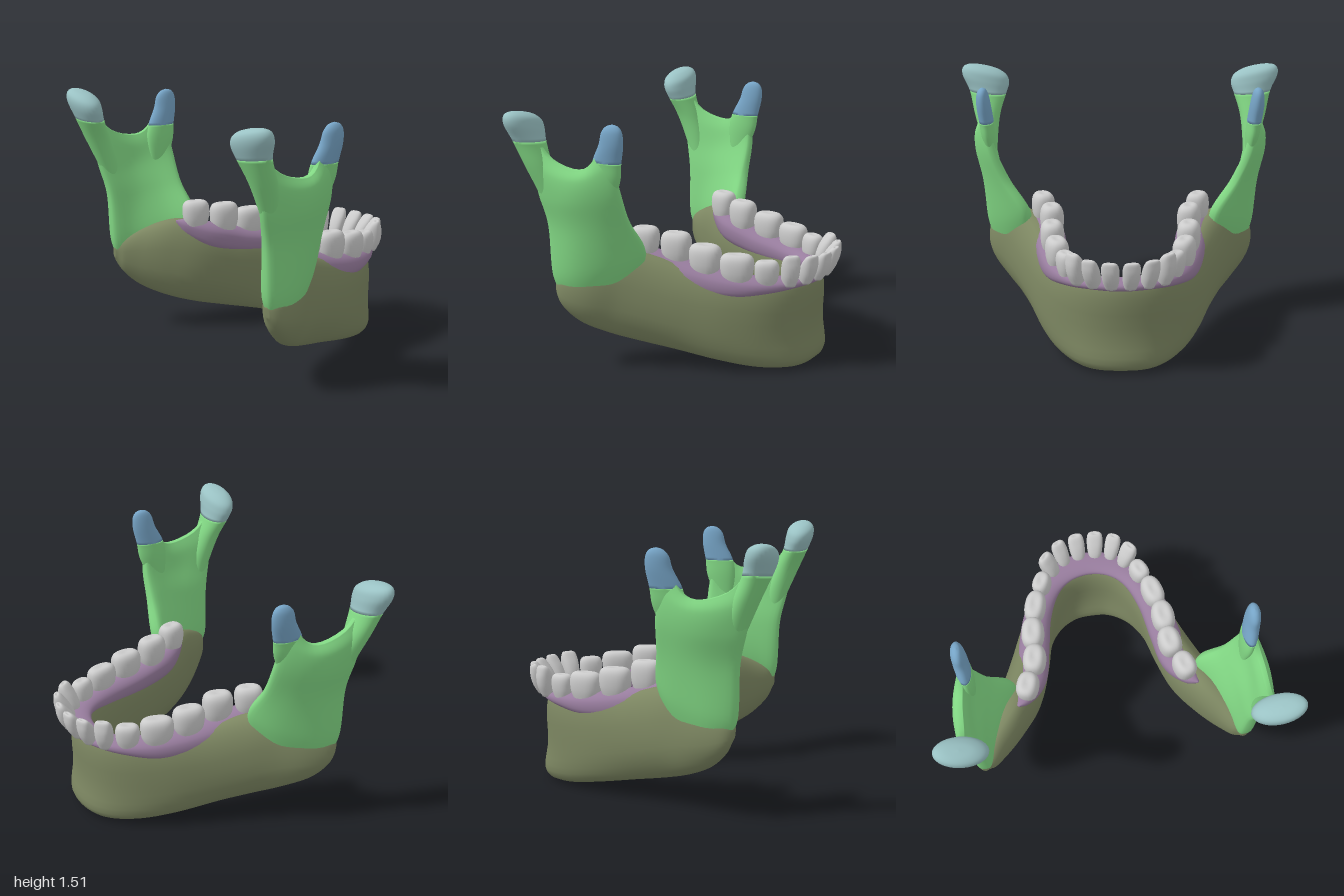
import * as THREE from 'three';

const COLORS = { body: 0x7d8762, ramus: 0x82d884, condyle: 0x9ac2c4, coronoid: 0x76a4c6, gum: 0x987d9e, tooth: 0xcccccc };
const V = (x, y, z) => new THREE.Vector3(x, y, z);
const pw = (v, e) => Math.sign(v) * Math.abs(v) ** e;

// Catmull-Rom through rows of plain numbers
function sample(rows, t) {
  const n = rows.length - 1, f = Math.min(t, 1) * n, i = Math.min(Math.floor(f), n - 1), k = f - i;
  const at = j => rows[Math.max(0, Math.min(n, j))];
  return at(i).map((p1, c) => {
    const p0 = at(i - 1)[c], p2 = at(i + 1)[c], p3 = at(i + 2)[c];
    return p1 + 0.5 * k * (p2 - p0 + k * (2 * p0 - 5 * p1 + 4 * p2 - p3 + k * (3 * (p1 - p2) + p3 - p0)));
  });
}
const resample = (rows, n, from = 0, to = 1) =>
  Array.from({ length: n + 1 }, (_, i) => sample(rows, from + (to - from) * i / n));
const around = (n, fn) => Array.from({ length: n }, (_, i) => fn(Math.cos(i / n * 2 * Math.PI), Math.sin(i / n * 2 * Math.PI)));

// Closed skin over rings of points, always facing outward; the caps join opposite sides of the end rings
function loft(name, color, rings) {
  const n = rings[0].length, pts = rings.flat(), idx = [];
  for (let r = 0; r < rings.length - 1; r++)
    for (let i = 0; i < n; i++) {
      const a = r * n + i, b = r * n + (i + 1) % n;
      idx.push(a, b, a + n, b, b + n, a + n);
    }
  const last = (rings.length - 1) * n;
  for (let i = 0; i < n / 2; i++) {
    const [p, q, r, s] = [i, i + 1, n - i - 1, (n - i) % n];
    if (i > 0) idx.push(s, r, p, last + p, last + r, last + s);
    if (q !== r) idx.push(r, q, p, last + p, last + q, last + r);
  }
  let volume = 0;
  for (let i = 0; i < idx.length; i += 3)
    volume += pts[idx[i]].dot(V(0, 0, 0).crossVectors(pts[idx[i + 1]], pts[idx[i + 2]]));
  if (volume < 0) idx.reverse();
  const g = new THREE.BufferGeometry().setFromPoints(pts);
  g.setIndex(idx);
  g.computeVertexNormals();
  const mesh = new THREE.Mesh(g, new THREE.MeshStandardMaterial({ color }));
  mesh.name = name;
  return mesh;
}

// Upright sections swept round the arch: top xyz, bottom xyz, half widths top / middle / bottom
function sweepArch(name, color, half, steps) {
  const mirrored = half.slice(1).reverse().map(s => s.map((v, i) => (i === 0 || i === 3 ? -v : v)));
  const secs = resample([...mirrored, ...half], steps);
  return loft(name, color, secs.map((s, i) => {
    const p = secs[Math.max(0, i - 1)], q = secs[Math.min(steps, i + 1)];
    const side = V(q[2] + q[5] - p[2] - p[5], 0, p[0] + p[3] - q[0] - q[3]).normalize();
    const [top, bottom] = [V(s[0], s[1], s[2]), V(s[3], s[4], s[5])];
    return around(32, (c, d) => {
      const a = pw(c, 0.75);
      const h = s[7] + (a > 0 ? s[6] - s[7] : s[8] - s[7]) * a * a;
      return bottom.clone().lerp(top, (a + 1) / 2).addScaledVector(side, h * pw(d, 0.8));
    });
  }));
}

const BODY = [
  [0, .54, -.645, 0, 0, -.60, .08, .075, .2],
  [.155, .54, -.605, .15, 0, -.57, .08, .078, .18],
  [.27, .55, -.51, .285, .02, -.45, .075, .085, .13],
  [.355, .57, -.34, .39, .06, -.27, .08, .1, .1],
  [.42, .60, -.12, .475, .11, -.03, .1, .12, .08],
  [.49, .66, .09, .55, .15, .15, .11, .13, .08],
  [.58, .69, .245, .64, .20, .30, .1, .115, .085],
  [.695, .64, .39, .735, .27, .43, .08, .1, .07],
  [.765, .57, .52, .785, .36, .52, .055, .065, .055],
  [.785, .51, .575, .79, .45, .57, .015, .015, .015],
];
const GUM = [
  [0, .555, -.66, 0, .49, -.66, .065, .075, .05],
  [.15, .555, -.625, .155, .49, -.625, .065, .075, .05],
  [.265, .56, -.53, .275, .47, -.52, .06, .075, .06],
  [.35, .58, -.36, .365, .44, -.34, .065, .085, .08],
  [.40, .62, -.13, .415, .46, -.11, .07, .095, .1],
  [.43, .67, .07, .45, .51, .08, .07, .09, .1],
  [.49, .70, .21, .52, .58, .20, .05, .06, .06],
  [.54, .69, .27, .56, .63, .25, .01, .01, .01],
];

// Ramus plate: rows from inside the body up to the notch, each running back to front
const RAMUS = [
  [[.78, .42, .52], [.77, .42, .42], [.71, .42, .32], [.65, .45, .24], [.57, .5, .17]],
  [[.785, .55, .585], [.775, .57, .46], [.73, .6, .34], [.66, .64, .22], [.56, .70, .115]],
  [[.795, .85, .60], [.80, .84, .47], [.79, .86, .36], [.755, .88, .25], [.69, .9, .135]],
  [[.825, 1.04, .64], [.835, 1.02, .52], [.84, 1.02, .4], [.82, 1.04, .28], [.77, 1.08, .14]],
  [[.84, 1.25, .675], [.85, 1.17, .56], [.855, 1.14, .41], [.84, 1.16, .29], [.80, 1.24, .165]],
  [[.845, 1.37, .655], [.85, 1.25, .55], [.85, 1.2, .40], [.835, 1.225, .3], [.81, 1.35, .22]],
];
const RAMUS_HALF = [.015, .07, .063, .055, .043, .014];

function ramus(side) {
  const rows = resample(RAMUS.map((r, i) => [...r.flat(), RAMUS_HALF[i]]), 40);
  return loft('ramus', COLORS.ramus, rows.map(row => {
    const line = [0, 3, 6, 9, 12].map(i => row.slice(i, i + 3));
    return around(40, (c, d) => {
      const u = (1 - c) / 2, p = sample(line, u);
      const a = sample(line, Math.max(0, u - .02)), b = sample(line, Math.min(1, u + .02));
      const n = V(b[2] - a[2], 0, a[0] - b[0]).normalize().multiplyScalar(row[15] * pw(d, .7));
      return V(side * (p[0] + n.x), p[1], p[2] + n.z);
    });
  }));
}

// Bony processes: centre xyz, half width x, half depth z, sideways slope
const CONDYLE = [
  [.80, .85, .53, .02, .03, 0],
  [.825, 1.05, .58, .05, .065, 0],
  [.84, 1.2, .635, .08, .075, 0],
  [.84, 1.33, .69, .115, .078, .1],
  [.853, 1.41, .712, .147, .086, .2],
  [.855, 1.46, .72, .137, .078, .22],
  [.86, 1.488, .725, .085, .045, .2],
  [.86, 1.496, .725, .002, .002, .2],
];
const CORONOID = [
  [.775, 1, .235, .015, .05, 0],
  [.795, 1.15, .215, .04, .09, 0],
  [.805, 1.25, .20, .043, .09, 0],
  [.815, 1.35, .165, .043, .075, 0],
  [.82, 1.42, .155, .036, .064, 0],
  [.82, 1.455, .15, .022, .038, 0],
  [.82, 1.467, .15, .002, .002, 0],
];
function bonyProcess(name, color, rows, side, from, to) {
  return loft(name, color, resample(rows, 24, from, to).map(([x, y, z, rx, rz, slope]) =>
    around(28, (c, d) => V(side * (x + rx * c), y + slope * rx * c, z + rz * d))));
}

// Teeth: x, z, base y, height, length along arch, width across, outward lean
const TEETH = [
  [.052, -.71, .52, .17, .1, .11, .075],
  [.148, -.685, .52, .175, .095, .11, .07],
  [.23, -.63, .52, .185, .105, .125, .05],
  [.3, -.525, .52, .15, .14, .11, .01],
  [.365, -.37, .53, .17, .195, .13, 0],
  [.4, -.185, .56, .18, .19, .14, 0],
  [.41, 0, .60, .19, .18, .14, 0],
  [.47, .17, .64, .175, .165, .135, 0],
];
// Crown rings: height, length scale, width scale for cutting and for grinding teeth
const CROWN = [
  [0, .68, .75, .75], [.3, .92, .95, .95], [.6, 1, .85, 1], [.82, .97, .6, .92],
  [.95, .82, .4, .72], [1, .55, .22, .45], [.98, .1, .05, .1],
];
function tooth(i, side) {
  const [x, z, y, h, length, width, lean] = TEETH[i];
  const prev = i ? TEETH[i - 1] : [-.05, -.71], next = TEETH[Math.min(7, i + 1)];
  const along = V(next[0] - prev[0], 0, next[1] - prev[1]).normalize(), out = V(along.z, 0, -along.x);
  return loft('tooth', COLORS.tooth, resample(CROWN, 18).map(([v, l, cut, grind]) =>
    around(24, (c, d) => {
      const p = V(x, y + h * v, z)
        .addScaledVector(along, length / 2 * l * pw(c, .85))
        .addScaledVector(out, width / 2 * (i < 3 ? cut : grind) * pw(d, .85) + lean * v);
      p.x *= side;
      return p;
    })));
}

export function createModel() {
  const model = new THREE.Group();
  model.name = 'lowerJaw';
  model.add(sweepArch('jawBody', COLORS.body, BODY, 108), sweepArch('alveolarRidge', COLORS.gum, GUM, 84));
  for (const side of [1, -1]) {
    const half = new THREE.Group();
    half.name = side > 0 ? 'leftSide' : 'rightSide';
    half.add(
      ramus(side),
      bonyProcess('condyleNeck', COLORS.ramus, CONDYLE, side, 0, 3 / 7),
      bonyProcess('condyleHead', COLORS.condyle, CONDYLE, side, 3 / 7, 1),
      bonyProcess('coronoidBase', COLORS.ramus, CORONOID, side, 0, 2 / 6),
      bonyProcess('coronoidTip', COLORS.coronoid, CORONOID, side, 2 / 6, 1),
    );
    const teeth = new THREE.Group();
    teeth.name = 'teeth';
    TEETH.forEach((_, i) => teeth.add(tooth(i, side)));
    half.add(teeth);
    model.add(half);
  }
  return model;
}
